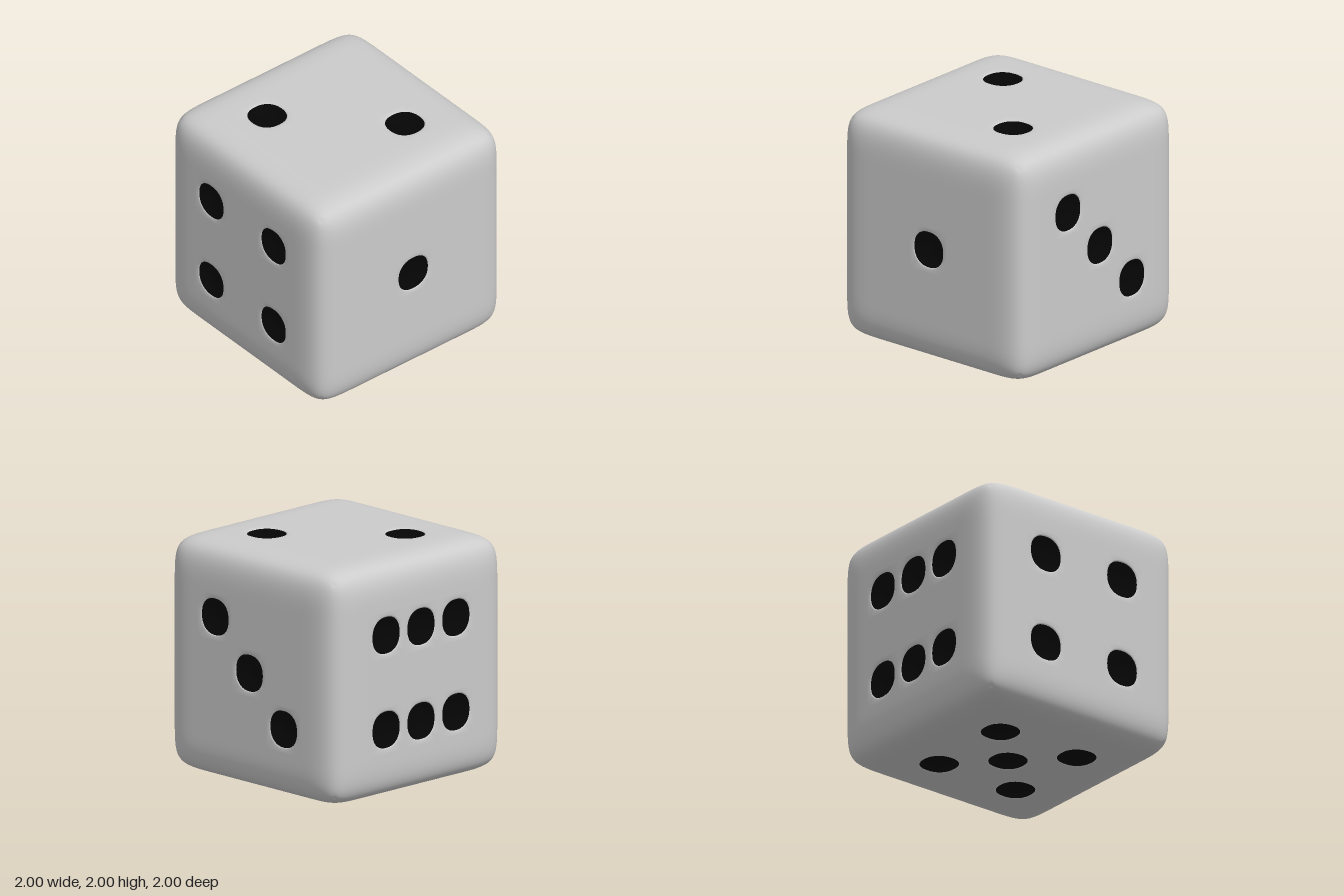
import * as THREE from 'three';
import { mergeVertices } from 'three/addons/utils/BufferGeometryUtils.js';

const N = 80;            // grid cells along each face
const BLOCK = 0.4;       // spacing of the pip positions
const PIP_R = 0.155, PIP_DEPTH = 0.08, LIP_DEPTH = 0.008;

// Each face: its two in-plane axes (u x v points outward) and its pips in units of BLOCK
const corners = [[-1, -1], [1, -1], [-1, 1], [1, 1]];
const faces = [
  { u: [1, 0, 0], v: [0, 1, 0], pips: corners },                                 // front: four
  { u: [-1, 0, 0], v: [0, 1, 0], pips: [[-1, 1], [0, 0], [1, -1]] },             // back: three
  { u: [0, 0, -1], v: [0, 1, 0], pips: [[0, 0]] },                               // +x side: one
  { u: [0, 0, 1], v: [0, 1, 0], pips: [...corners, [0, -1], [0, 1]] },           // -x side: six
  { u: [1, 0, 0], v: [0, 0, -1], pips: [[1, 1], [-1, -1]] },                     // top: two
  { u: [1, 0, 0], v: [0, 0, 1], pips: [...corners, [0, 0]] },                    // bottom: five
];

// Rounds the cube's edges and corners with a cubic falloff outside |s| = 0.6
function roundPoint(s, t) {
  const fall = (w) => Math.pow(Math.max(0, (Math.abs(w) - 0.6) / 0.4), 3);
  const fs = fall(s), ft = fall(t), both = fs * ft / 30;
  const pull = (w, f) => w - Math.sign(w) * (f / 15 + both);
  return [pull(s, fs), pull(t, ft), 1 - (fs + ft) / 15 + both];
}

// Offset from a pip centre (square grid) to a rounded ring and its depth
function dishPoint(a, b) {
  const m = Math.max(Math.abs(a), Math.abs(b));
  if (m < 1e-6) return [0, 0, PIP_DEPTH];
  if (m > 0.19) return [a, b, 0];
  const angle = Math.abs(a) >= Math.abs(b)
    ? Math.PI / 4 * b / a + (a < 0 ? Math.PI : 0)
    : Math.PI / 2 - Math.PI / 4 * a / b + (b < 0 ? Math.PI : 0);
  const c = Math.cos(angle), s = Math.sin(angle), n = 2.3;
  const squircle = 1 / Math.pow(Math.abs(c) ** n + Math.abs(s) ** n, 1 / n);
  const q = m / 0.15;
  const inside = q < 1.01;
  const r = squircle * (inside ? PIP_R * q : PIP_R + 0.013);
  const depth = inside ? LIP_DEPTH + (PIP_DEPTH - LIP_DEPTH) * (1 - Math.min(1, q) ** 3) : 0;
  return [r * c, r * s, depth];
}

export function createModel() {
  const positions = [], bodyIndex = [], pipIndex = [];

  for (const { u, v, pips } of faces) {
    const U = new THREE.Vector3(...u), V = new THREE.Vector3(...v);
    const W = new THREE.Vector3().crossVectors(U, V);
    const start = positions.length / 3;
    const pipAt = (s, t, reach) => pips.find(([i, j]) =>
      Math.max(Math.abs(s - i * BLOCK), Math.abs(t - j * BLOCK)) < reach);

    // Face grid, warped into dishes where there are pips
    for (let j = 0; j <= N; j++) for (let i = 0; i <= N; i++) {
      const s = 2 * i / N - 1, t = 2 * j / N - 1;
      const pip = pipAt(s, t, 0.199);
      let [x, y, z] = roundPoint(s, t);
      if (pip) {
        const cx = pip[0] * BLOCK, cy = pip[1] * BLOCK;
        const [dx, dy, depth] = dishPoint(s - cx, t - cy);
        [x, y, z] = [cx + dx, cy + dy, 1 - depth];
      }
      const p = new THREE.Vector3().addScaledVector(U, x).addScaledVector(V, y).addScaledVector(W, z);
      positions.push(p.x, p.y + 1, p.z);
    }

    // Cells go to the body or to the dark dishes
    for (let j = 0; j < N; j++) for (let i = 0; i < N; i++) {
      const a = start + j * (N + 1) + i, b = a + 1, d = a + N + 1, c = d + 1;
      const inPip = pipAt((2 * i + 1) / N - 1, (2 * j + 1) / N - 1, 0.15);
      (inPip ? pipIndex : bodyIndex).push(a, b, c, a, c, d);
    }
  }

  // Weld the seams so the normals run smoothly over the edges
  let shell = new THREE.BufferGeometry();
  shell.setAttribute('position', new THREE.Float32BufferAttribute(positions, 3));
  shell.setIndex([...bodyIndex, ...pipIndex]);
  shell = mergeVertices(shell, 1e-4);
  shell.computeVertexNormals();
  const index = Array.from(shell.index.array);

  const group = new THREE.Group();
  group.name = 'die';
  const addPart = (name, part, color) => {
    const geometry = new THREE.BufferGeometry();
    geometry.setAttribute('position', shell.attributes.position);
    geometry.setAttribute('normal', shell.attributes.normal);
    geometry.setIndex(part);
    const mesh = new THREE.Mesh(geometry, new THREE.MeshStandardMaterial({ color }));
    mesh.name = name;
    group.add(mesh);
  };
  addPart('roundedCube', index.slice(0, bodyIndex.length), 0xcccccc);
  addPart('pips', index.slice(bodyIndex.length), 0x050505);
  return group;
}
